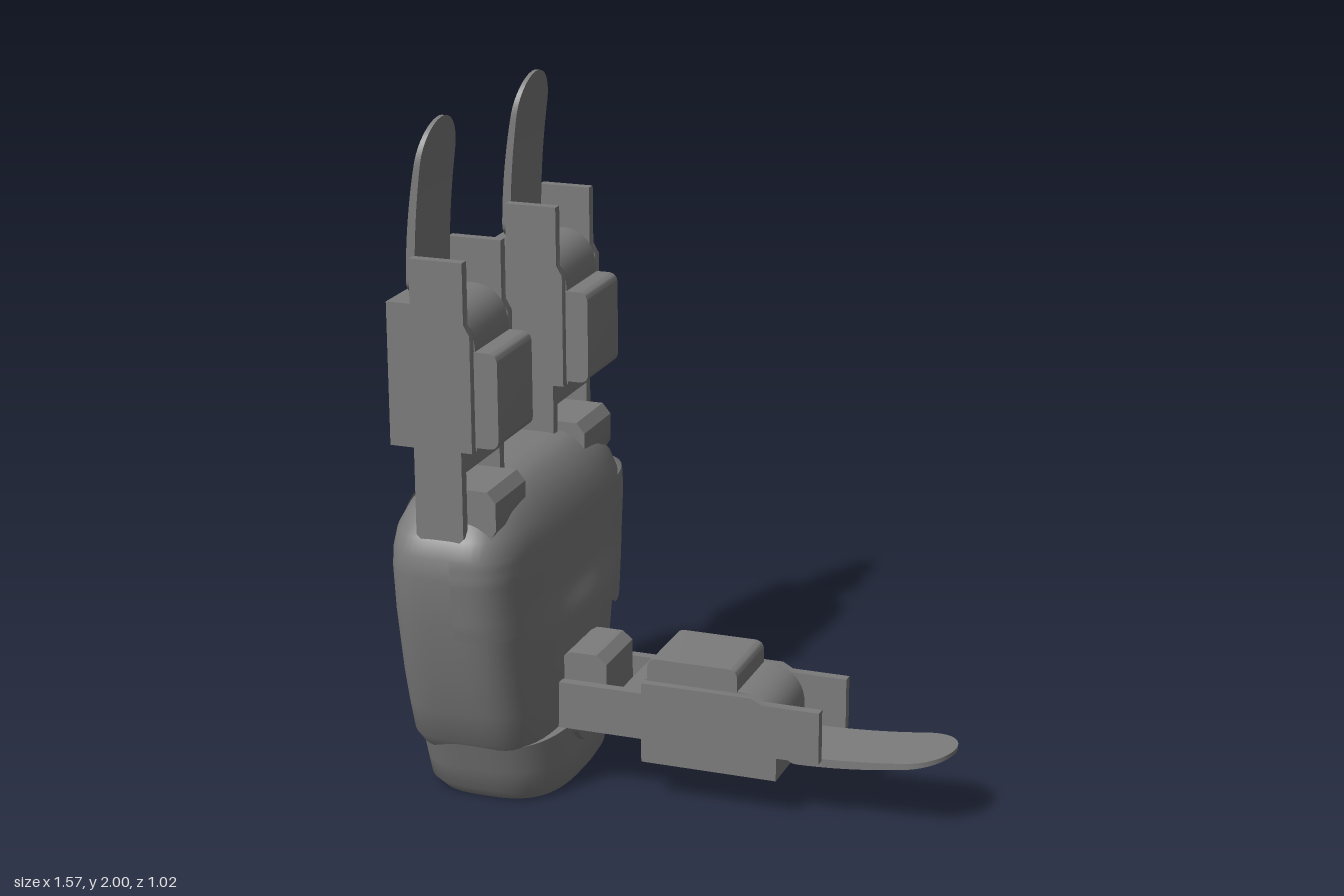
import * as THREE from 'three';
import { toCreasedNormals } from 'three/addons/utils/BufferGeometryUtils.js';

const grey = new THREE.MeshStandardMaterial({ color: 0x7c7c7c });
grey.name = 'grey';
const shellGrey = new THREE.MeshStandardMaterial({ color: 0x7c7c7c, side: THREE.DoubleSide });
shellGrey.name = 'shell grey';

function add(parent, name, geometry, material = grey) {
  const mesh = new THREE.Mesh(geometry, material);
  mesh.name = name;
  parent.add(mesh);
  return mesh;
}

// Closed solid through rings of [x, y, z] points, capped at both ends
function loft(rings, crease = 0.6) {
  const n = rings[0].length, pos = rings.flat(2), idx = [];
  for (let j = 0; j < rings.length - 1; j++)
    for (let i = 0; i < n; i++) {
      const a = j * n + i, b = j * n + (i + 1) % n;
      idx.push(a, a + n, b, b, a + n, b + n);
    }
  [0, rings.length - 1].forEach((j) => {
    const c = pos.length / 3, mid = [0, 0, 0];
    rings[j].forEach((p) => p.forEach((v, k) => { mid[k] += v / n; }));
    pos.push(...mid);
    for (let i = 0; i < n; i++) {
      const a = j * n + i, b = j * n + (i + 1) % n;
      idx.push(c, ...(j ? [b, a] : [a, b]));
    }
  });
  const g = new THREE.BufferGeometry();
  g.setAttribute('position', new THREE.Float32BufferAttribute(pos, 3));
  g.setIndex(idx);
  return toCreasedNormals(g, crease);
}

// Side profile in x, y extruded across z
function slab(points, z0, z1) {
  const shape = points instanceof THREE.Shape ? points
    : new THREE.Shape(points.map((p) => new THREE.Vector2(...p)));
  const g = new THREE.ExtrudeGeometry(shape, { depth: z1 - z0, bevelEnabled: false, curveSegments: 8 });
  g.translate(0, 0, z0);
  return toCreasedNormals(g, 0.6);
}

// Palm profile: height, back x, front x, half width
const palmRows = [
  [0.16, -0.76, -0.37, 0.33], [0.2, -0.775, -0.362, 0.36], [0.3, -0.777, -0.36, 0.395],
  [0.4, -0.777, -0.36, 0.428], [0.6, -0.777, -0.36, 0.475], [0.74, -0.775, -0.36, 0.497],
  [0.8, -0.77, -0.363, 0.497], [0.85, -0.763, -0.378, 0.475], [0.9, -0.74, -0.405, 0.43],
  [0.94, -0.71, -0.44, 0.36], [0.958, -0.685, -0.47, 0.29], [0.967, -0.65, -0.51, 0.21],
];
const baseRows = [
  [0, -0.74, -0.35, 0.27], [0.03, -0.767, -0.332, 0.295],
  [0.1, -0.772, -0.33, 0.32], [0.19, -0.777, -0.335, 0.352],
];

// Point on a rounded-rectangle section at height y
function section(rows, y, angle, power, off = 0) {
  let k = 0;
  while (k < rows.length - 2 && y > rows[k + 1][0]) k++;
  const t = (y - rows[k][0]) / (rows[k + 1][0] - rows[k][0]);
  const [x0, x1, hz] = [1, 2, 3].map((c) => THREE.MathUtils.lerp(rows[k][c], rows[k + 1][c], t));
  const c = Math.cos(angle), s = Math.sin(angle);
  const r = (Math.abs(c) ** power + Math.abs(s) ** power) ** (-1 / power);
  return [(x0 + x1) / 2 + ((x1 - x0) / 2 + off) * r * c, y, (hz + off) * r * s];
}

function rounded(rows, power) {
  return loft(rows.map((row) => Array.from({ length: 72 }, (_, i) =>
    section(rows, row[0], (i / 72) * Math.PI * 2, power))));
}

// Thin open cover lying just outside the palm
function cover(a0, a1, bottom, top, off, bump = () => 0) {
  const g = new THREE.PlaneGeometry(1, 1, 48, 20), p = g.attributes.position;
  for (let i = 0; i < p.count; i++) {
    const angle = THREE.MathUtils.lerp(a1, a0, p.getX(i) + 0.5);
    const low = bottom(angle);
    const y = THREE.MathUtils.lerp(low, top, p.getY(i) + 0.5);
    const q = section(palmRows, y, angle, 4, off);
    p.setXYZ(i, q[0] + bump(y, q[2]), q[1], q[2]);
  }
  g.computeVertexNormals();
  return g;
}

function createFinger(name) {
  const f = new THREE.Group();
  f.name = name;

  // Hinge block at the root
  add(f, 'knuckle', slab([[-0.06, -0.1], [0.13, -0.1], [0.18, -0.02], [0.18, 0.06],
    [0.155, 0.09], [-0.04, 0.09]], -0.105, 0.105));

  // Paired side brackets
  const plate = [[-0.02, -0.06], [0.08, -0.06], [0.1, -0.04], [0.1, 0.21], [0.132, 0.21],
    [0.132, 0.54], [0.115, 0.57], [0.115, 0.74], [-0.04, 0.74], [-0.04, 0.615],
    [-0.11, 0.615], [-0.11, 0.21], [-0.04, 0.21], [-0.04, -0.04]];
  for (const s of [-1, 1])
    add(f, 'sideBracket', slab(plate, s * 0.13 - 0.015, s * 0.13 + 0.015));

  // Motor case with a rounded upper end
  const body = new THREE.Shape();
  body.moveTo(-0.11, 0.21).lineTo(-0.04, 0.21).lineTo(-0.04, 0.145).lineTo(0.1, 0.145);
  body.lineTo(0.1, 0.21).lineTo(0.135, 0.21).lineTo(0.135, 0.5);
  body.quadraticCurveTo(0.13, 0.605, 0.04, 0.615).lineTo(-0.11, 0.615).closePath();
  add(f, 'motorCase', slab(body, -0.117, 0.117));

  // Grip pad
  const pad = new THREE.Shape();
  pad.moveTo(0.125, 0.22).lineTo(0.17, 0.22).quadraticCurveTo(0.2, 0.22, 0.2, 0.25);
  pad.lineTo(0.2, 0.46).quadraticCurveTo(0.2, 0.49, 0.17, 0.49).lineTo(0.125, 0.49).closePath();
  add(f, 'gripPad', slab(pad, -0.12, 0.12));

  // Curved blade fingertip
  const rings = [];
  for (let i = 0; i <= 32; i++) {
    const t = (1 - Math.cos((i / 32) * Math.PI)) / 2, v = 0.63 + 0.47 * t;
    let w = 0.115;
    if (v < 0.67) w = 0.075 + Math.sqrt(Math.max(0, 0.04 ** 2 - (0.67 - v) ** 2));
    if (v > 0.985) w = Math.sqrt(Math.max(0.00004, 0.115 ** 2 - (v - 0.985) ** 2));
    const u = -0.05 + 0.05 * t * t, h = 0.013 - 0.007 * t * t;
    rings.push([[u + h, v, -w], [u + h, v, w], [u - h, v, w], [u - h, v, -w]]);
  }
  add(f, 'fingertip', loft(rings));
  return f;
}

export function createModel() {
  const model = new THREE.Group();
  model.name = 'gripperHand';

  // Palm and wrist
  add(model, 'palm', rounded(palmRows, 4));
  add(model, 'wristBase', rounded(baseRows, 3));

  // Front cover, arched and raised over the thumb
  const arch = (a) => {
    const z = Math.abs(0.45 * Math.tan(Math.min(Math.abs(a), 0.8)));
    return z < 0.27 ? 0.43 + 0.08 * Math.cos((z / 0.27) * Math.PI / 2) : z < 0.4 ? 0.43 : 0.56;
  };
  const bump = (y, z) => 0.032 * Math.exp(-((z / 0.25) ** 2)) * THREE.MathUtils.smoothstep(-y, -0.64, -0.52);
  add(model, 'frontCover', cover(-1.4, 1.4, arch, 0.805, 0.014, bump), shellGrey);

  // Back cover with two fasteners
  add(model, 'backCover', cover(Math.PI - 0.5, Math.PI + 0.5, () => 0.47, 0.96, 0.014), shellGrey);
  for (const z of [-0.06, 0.06]) {
    const screw = add(model, 'backScrew', new THREE.CylinderGeometry(0.016, 0.016, 0.009, 16));
    screw.rotation.z = Math.PI / 2;
    screw.position.set(-0.789, 0.74, z);
  }

  // Thumb socket
  const socket = add(model, 'thumbSocket', new THREE.CylinderGeometry(0.12, 0.15, 0.08, 32));
  socket.rotation.z = -Math.PI / 2;
  socket.position.set(-0.362, 0.23, 0);

  // Fasteners under the wrist
  for (const x of [-0.65, -0.44])
    for (const z of [-0.15, -0.05, 0.05, 0.15]) {
      const r = Math.abs(z) > 0.1 ? 0.02 : 0.012;
      add(model, 'wristScrew', new THREE.CylinderGeometry(r, r, 0.008, 16)).position.set(x, 0.004, z);
    }

  // Two upright fingers and the thumb lying forward
  for (const z of [-0.325, 0.33]) {
    const finger = createFinger('finger');
    finger.position.set(-0.6, 0.9, z);
    model.add(finger);
  }
  const thumb = createFinger('thumb');
  thumb.quaternion.setFromAxisAngle(new THREE.Vector3(1, 1, 0).normalize(), Math.PI);
  thumb.position.set(-0.32, 0.23, 0);
  model.add(thumb);
  return model;
}
